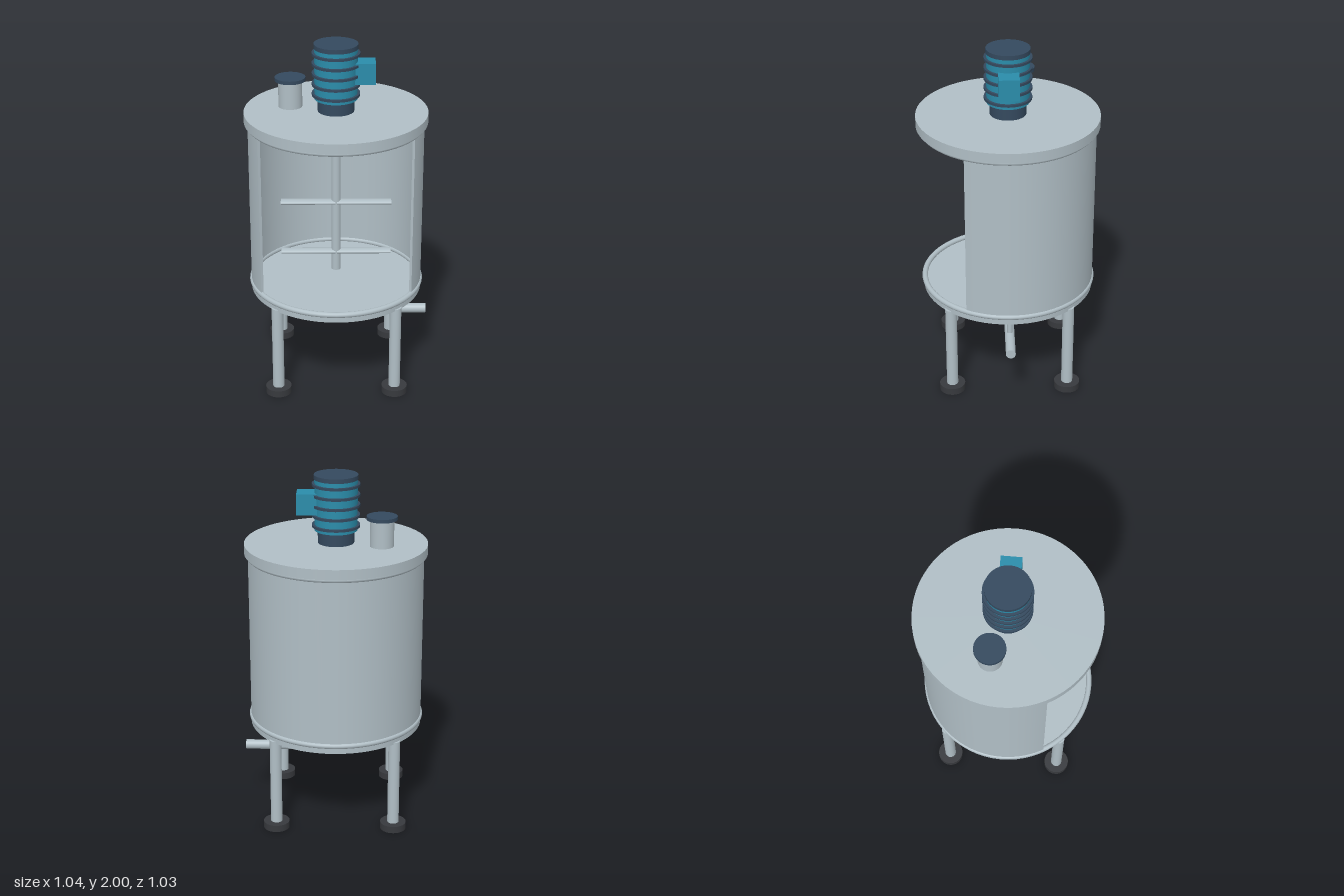
import * as THREE from 'three';

const mat = (color) => new THREE.MeshStandardMaterial({ color });
const steel = mat(0xb0bec5);
const navy = mat(0x34495e);
const teal = mat(0x2a8caa);
const rubber = mat(0x37393d);
const orange = mat(0xe67e22);

export function createModel() {
  const model = new THREE.Group();
  const tank = new THREE.Group(); // everything sits on the tank axis
  tank.name = 'mixingTank';
  tank.position.x = -0.01;
  model.add(tank);

  const add = (name, geometry, material, x = 0, y = 0, z = 0) => {
    const mesh = new THREE.Mesh(geometry, material);
    mesh.name = name;
    mesh.position.set(x, y, z);
    tank.add(mesh);
    return mesh;
  };
  // upright cylinder between two heights
  const post = (name, r, y0, y1, material, x = 0, z = 0, sides = 32) =>
    add(name, new THREE.CylinderGeometry(r, r, y1 - y0, sides), material, x, (y0 + y1) / 2, z);
  // bar along x with an elliptical section (ry high, rz deep)
  const bar = (name, x0, x1, y, ry, rz, material) => {
    const g = new THREE.CylinderGeometry(1, 1, x1 - x0, 24);
    g.rotateZ(Math.PI / 2).scale(1, ry, rz);
    return add(name, g, material, (x0 + x1) / 2, y, 0);
  };
  const ring = (name, R, r, y, material) =>
    add(name, new THREE.TorusGeometry(R, r, 12, 64).rotateX(Math.PI / 2), material, 0, y, 0);

  // Shell: a thick wall with a 120 degree opening at the front
  const a0 = Math.PI / 6, a1 = (5 * Math.PI) / 6;
  const wall = new THREE.Shape();
  wall.absarc(0, 0, 0.494, a0, a1, true);
  wall.absarc(0, 0, 0.479, a1, a0, false);
  wall.closePath();
  const shell = new THREE.ExtrudeGeometry(wall, { depth: 0.98, bevelEnabled: false, curveSegments: 64 });
  shell.rotateX(Math.PI / 2); // shape y becomes z, extrusion runs downward
  add('shell', smoothWall(shell), steel, 0, 1.545, 0);

  // Floor and lid with their rims
  post('floor', 0.494, 0.54, 0.575, steel, 0, 0, 64);
  ring('floorRim', 0.488, 0.016, 0.585, steel);
  post('lid', 0.514, 1.557, 1.613, steel, 0, 0, 64);
  post('lidUnderside', 0.492, 1.54, 1.557, steel, 0, 0, 64);
  ring('lidRim', 0.488, 0.016, 1.55, steel);

  // Legs and feet
  for (const x of [-0.335, 0.335]) {
    for (const z of [-0.335, 0.335]) {
      post('leg', 0.033, 0.03, 0.55, steel, x, z);
      post('foot', 0.074, 0, 0.04, rubber, x, z);
    }
  }

  // Agitator shaft and paired blades
  post('agitatorShaft', 0.026, 0.63, 1.55, steel);
  for (const y of [0.745, 1.056]) {
    bar('bladeRight', -0.316, -0.004, y, 0.014, 0.03, steel);
    bar('bladeLeft', 0.004, 0.316, y, 0.014, 0.03, steel);
  }

  // Drain pipe and valve
  post('drainPipe', 0.026, 0.365, 0.55, steel);
  bar('outletPipe', 0, 0.53, 0.363, 0.028, 0.028, steel);
  post('valveStem', 0.015, 0.37, 0.515, steel, 0.342, 0);
  bar('valveHandle', 0.25, 0.435, 0.515, 0.013, 0.023, orange);

  // Motor with cooling fins and terminal box
  post('motorCoupling', 0.102, 1.61, 1.69, navy);
  post('motorBody', 0.12, 1.685, 1.98, teal);
  for (let i = 0; i < 5; i++) {
    const y = 1.712 + i * 0.058;
    post('coolingFin', 0.134, y - 0.007, y + 0.007, navy, 0, 0, 40);
  }
  post('motorCap', 0.123, 1.975, 2, navy);
  add('terminalBox', new THREE.BoxGeometry(0.13, 0.12, 0.114), teal, 0.153, 1.84, 0);

  // Filling port on the lid
  post('fillPort', 0.067, 1.61, 1.77, steel, -0.255, -0.072);
  post('fillPortCap', 0.086, 1.765, 1.785, navy, -0.255, -0.072);

  return model;
}

// Radial normals on the curved faces of an upright wall, flat ones elsewhere
function smoothWall(geometry) {
  const p = geometry.attributes.position, n = geometry.attributes.normal;
  for (let i = 0; i < p.count; i++) {
    const r = Math.hypot(p.getX(i), p.getZ(i));
    const dot = (n.getX(i) * p.getX(i) + n.getZ(i) * p.getZ(i)) / r;
    if (Math.abs(dot) < 0.8) continue;
    const s = Math.sign(dot) / r;
    n.setXYZ(i, p.getX(i) * s, 0, p.getZ(i) * s);
  }
  return geometry;
}
